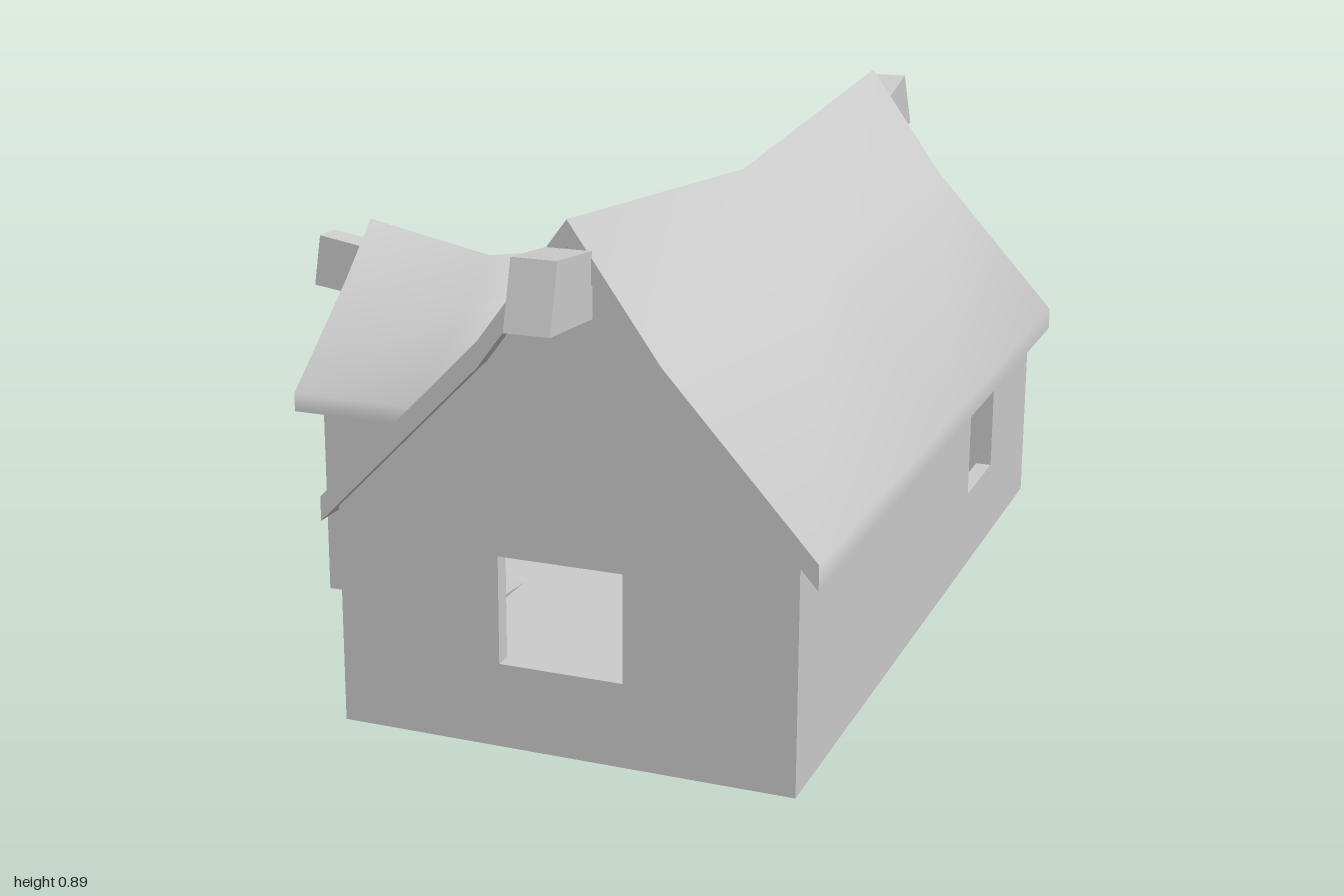
import * as THREE from 'three';
import { toCreasedNormals } from 'three/addons/utils/BufferGeometryUtils.js';

const material = new THREE.MeshStandardMaterial({ color: 0xcccccc, side: THREE.DoubleSide });

function mesh(name, geometry) {
  const m = new THREE.Mesh(geometry, material);
  m.name = name;
  return m;
}

const shapeOf = (pts) => new THREE.Shape(pts.map(([x, y]) => new THREE.Vector2(x, y)));

// Smooth surface from quads of [x, y, z] corners.
function quadMesh(name, quads, crease) {
  const positions = quads.flatMap(([a, b, c, d]) => [a, b, c, a, c, d].flat());
  const g = new THREE.BufferGeometry();
  g.setAttribute('position', new THREE.Float32BufferAttribute(positions, 3));
  return mesh(name, toCreasedNormals(g, crease));
}

// Upright thin wall with openings [u0, y0, u1, y1]; each opening gets an inward reveal.
function wall(name, x, z, angle, outline, openings = []) {
  const group = new THREE.Group();
  group.name = name;
  const shape = shapeOf(outline);
  const depth = 0.03;
  for (const [u0, y0, u1, y1] of openings) {
    shape.holes.push(new THREE.Path([[u0, y0], [u0, y1], [u1, y1], [u1, y0]].map((p) => new THREE.Vector2(...p))));
    const w = u1 - u0, h = y1 - y0;
    for (const [px, py, len, rx, ry] of [
      [(u0 + u1) / 2, y0, w, -1, 0], [(u0 + u1) / 2, y1, w, 1, 0],
      [u0, (y0 + y1) / 2, h, 0, 1], [u1, (y0 + y1) / 2, h, 0, -1],
    ]) {
      const g = rx ? new THREE.PlaneGeometry(len, depth) : new THREE.PlaneGeometry(depth, len);
      g.rotateX(rx * Math.PI / 2).rotateY(ry * Math.PI / 2).translate(px, py, -depth / 2);
      group.add(mesh('openingReveal', g));
    }
  }
  group.add(mesh('wallPanel', new THREE.ShapeGeometry(shape)));
  group.position.set(x, 0, z);
  group.rotation.y = angle;
  return group;
}

const rect = (u0, u1, h) => [[u0, 0], [u1, 0], [u1, h], [u0, h]];

// Sagging roof slab: each section lists its top points from eave over ridge to eave.
function roof(name, sections, thickness) {
  const quads = [];
  const low = ([x, y, z]) => [x, y - thickness, z];
  const rings = sections.map((top) => [...top, ...top.map(low).reverse()]);
  const n = rings[0].length;
  for (let s = 0; s < rings.length - 1; s++) {
    for (let i = 0; i < n; i++) {
      const j = (i + 1) % n;
      quads.push([rings[s][i], rings[s + 1][i], rings[s + 1][j], rings[s][j]]);
    }
  }
  const first = rings[0], last = rings[rings.length - 1];
  for (let i = 0; i < n / 2 - 1; i++) {
    quads.push([first[i], first[i + 1], first[n - 2 - i], first[n - 1 - i]]);
    quads.push([last[n - 1 - i], last[n - 2 - i], last[i + 1], last[i]]);
  }
  return quadMesh(name, quads, 1.48);
}

// Ridge beam end: side outline extruded across its width, centred.
function beam(name, outline, width) {
  const g = new THREE.ExtrudeGeometry(shapeOf(outline), { depth: width, bevelEnabled: false });
  return mesh(name, g.translate(0, 0, -width / 2));
}

export function createModel() {
  const house = new THREE.Group();
  house.name = 'cottage';
  const quarter = Math.PI / 2;

  // Main gable walls
  const gable = [[-0.18, 0], [0.61, 0], [0.61, 0.4], [0.39, 0.655], [0.24, 0.865], [0.09, 0.66], [-0.18, 0.385]];
  house.add(wall('frontWall', 0, 0.82, 0, gable, [[0.105, 0.145, 0.32, 0.33]]));
  house.add(wall('backWall', 0, -0.79, Math.PI, gable.map(([x, y]) => [-x, y]).reverse()));

  // Main long walls
  house.add(wall('leftWall', 0.61, 0, quarter, rect(-0.82, 0.79, 0.4), [[0.28, 0.15, 0.475, 0.31]]));
  house.add(wall('rightWallFront', -0.18, 0, -quarter, rect(0.3, 0.82, 0.385)));
  house.add(wall('rightWallBack', -0.18, 0, -quarter, rect(-0.79, -0.26, 0.385)));

  // Porch walls with a window on each side and a doorway
  house.add(wall('porchFrontWall', 0, 0.3, 0, rect(-0.5, -0.18, 0.39), [[-0.4, 0.175, -0.29, 0.3]]));
  house.add(wall('porchBackWall', 0, -0.26, Math.PI, rect(0.18, 0.5, 0.39), [[0.29, 0.175, 0.4, 0.3]]));
  house.add(wall('porchDoorWall', -0.5, 0, -quarter,
    [[-0.26, 0], [0.3, 0], [0.3, 0.39], [0.13, 0.54], [0.022, 0.635], [-0.085, 0.54], [-0.26, 0.39]],
    [[-0.09, 0.03, 0.12, 0.38]]));

  // Raised floor, set in from the walls, with a sloping rim down to their feet
  const inset = 0.065, floorY = 0.045;
  const footprint = [
    [-0.18, 0.82, 1, -1], [0.61, 0.82, -1, -1], [0.61, -0.79, -1, 1], [-0.18, -0.79, 1, 1],
    [-0.18, -0.26, 1, 1], [-0.5, -0.26, 1, 1], [-0.5, 0.3, 1, -1], [-0.18, 0.3, 1, -1],
  ];
  const foot = footprint.map(([x, z]) => [x, 0, z]);
  const edge = footprint.map(([x, z, sx, sz]) => [x + sx * inset, floorY, z + sz * inset]);
  house.add(quadMesh('floorRim', foot.map((p, i) => {
    const j = (i + 1) % foot.length;
    return [p, edge[i], edge[j], foot[j]];
  }), 0.5));
  const floor = new THREE.ShapeGeometry(shapeOf(edge.map(([x, , z]) => [x, -z])));
  house.add(mesh('floor', floor.rotateX(-quarter).translate(0, floorY, 0)));

  // Main roof: the ridge dips in the middle while the bend in each slope stays level
  house.add(roof('mainRoof', [[-0.825, 0.895], [0.03, 0.828], [0.845, 0.895]].map(([z, ridge]) => [
    [-0.2, 0.4, z], [0.087, 0.69, z], [0.24, ridge, z], [0.393, 0.68, z], [0.647, 0.4, z],
  ]), 0.042));

  // Porch roof, its inner end following the slope of the main roof
  const porchSection = (x, ridge, kink) => [
    [x[0], 0.4, 0.342], [x[1], kink, 0.132], [x[2], ridge, 0.022], [x[1], kink, -0.088], [x[0], 0.4, -0.3],
  ];
  house.add(roof('porchRoof', [
    porchSection([-0.538, -0.538, -0.538], 0.672, 0.57),
    porchSection([-0.28, -0.28, -0.28], 0.62, 0.545),
    porchSection([-0.19, -0.02, 0.07], 0.672, 0.57),
  ], 0.035));

  // Ridge beam ends
  const front = beam('frontRidgeBeam', [[-1, 0.753], [-0.84, 0.743], [-0.84, 0.849], [-0.97, 0.861]], 0.075);
  const back = beam('backRidgeBeam', [[0.82, 0.721], [1, 0.755], [0.94, 0.868], [0.82, 0.838]], 0.075);
  for (const b of [front, back]) {
    b.rotation.y = quarter;
    b.position.x = 0.242;
  }
  const porch = beam('porchRidgeBeam', [[-0.65, 0.535], [-0.53, 0.519], [-0.53, 0.62], [-0.635, 0.637]], 0.058);
  porch.position.z = 0.025;
  house.add(front, back, porch);

  return house;
}
